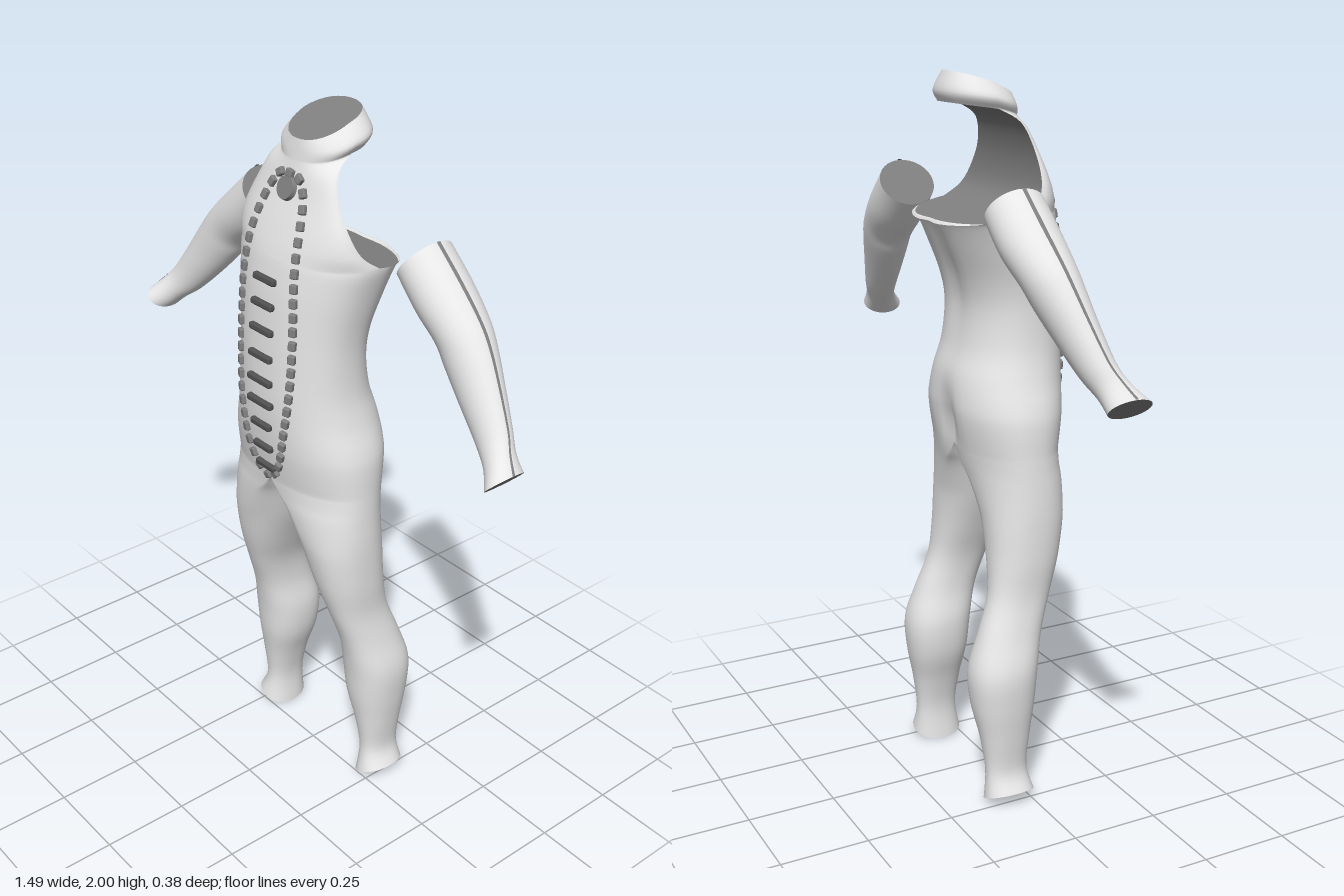
import * as THREE from 'three';
import { mergeGeometries, mergeVertices } from 'three/addons/utils/BufferGeometryUtils.js';
import { RoundedBoxGeometry } from 'three/addons/geometries/RoundedBoxGeometry.js';

const SEG = 48, POW = 0.9, PI = Math.PI;
const spow = (v) => Math.sign(v) * Math.abs(v) ** POW;

// Smoothly subdivide a table of cross-sections (Catmull-Rom on every column)
function refine(rows, n = 5) {
  const out = [], at = (i) => rows[Math.min(Math.max(i, 0), rows.length - 1)];
  for (let i = 0; i < rows.length - 1; i++) {
    for (let k = 0; k < n; k++) {
      const t = k / n;
      out.push(rows[i].map((p1, c) => {
        const p0 = at(i - 1)[c], p2 = at(i + 1)[c], p3 = at(i + 2)[c];
        return 0.5 * (2 * p1 + (p2 - p0) * t + (2 * p0 - 5 * p1 + 4 * p2 - p3) * t * t
          + (3 * p1 - p0 - 3 * p2 + p3) * t * t * t);
      }));
    }
  }
  out.push(at(rows.length - 1));
  return out;
}

// Skin a list of cross-sections; point(row, angle) gives each vertex
function loft(rows, point, from, to, segs, mirror = false) {
  const pos = [], idx = [], w = segs + 1;
  rows.forEach((row, i) => {
    for (let j = 0; j <= segs; j++) {
      const [x, y, z] = point(row, from + (to - from) * j / segs);
      pos.push(mirror ? -x : x, y, z);
      if (i === rows.length - 1 || j === segs) continue;
      const a = i * w + j, b = a + 1, c = a + w, d = c + 1;
      idx.push(...(mirror ? [a, c, b, b, c, d] : [a, b, c, b, d, c]));
    }
  });
  const g = new THREE.BufferGeometry();
  g.setAttribute('position', new THREE.Float32BufferAttribute(pos, 3));
  g.setIndex(idx);
  return g;
}

function weld(parts) {
  const g = mergeVertices(mergeGeometries(parts), 1e-4);
  g.computeVertexNormals();
  return g;
}

// Flat lid over an open end of a loft
function lid(row, point, scales, mirror) {
  const p0 = point(row, 0), p1 = point(row, PI), mid = p0.map((v, i) => (v + p1[i]) / 2);
  return weld([loft(scales, (k, a) => point(row, a).map((v, i) => mid[i] + (v - mid[i]) * k), 0, 2 * PI, 36, mirror)]);
}

// Surface of straight lines between the left and right edge points
const ruled = (points, dir) => weld([loft(points, ([x, y, z], a) => [x * a, y, z], -dir, dir, 4)]);

// Body section: y, x right, x left, z front, z back, centre x, centre z, side lift, back lift, roll
function bodyPoint([y, x0, x1, zf, zb, cx, zc, side, back, roll], a) {
  const s = spow(Math.sin(a)), c = spow(Math.cos(a));
  const x = cx + (s > 0 ? x1 - cx : cx - x0) * s;
  let z = zc + (c > 0 ? zf - zc : zc - zb) * c;
  const py = y + (c > 0 ? side * (1 - c) : side - (back - side) * c) + roll * s;
  // Cleft at the seat and a shallow spine line
  if (c < 0) z -= c * Math.exp(-((x / 0.04) ** 2))
    * (0.028 * Math.exp(-(((py - 1.07) / 0.09) ** 2)) + 0.012 * Math.exp(-(((py - 1.5) / 0.18) ** 2)));
  return [x, py, z];
}
const bodyRow = (y, hx, zf, zb, zc = (zf + zb) / 2, side = 0, back = 0) =>
  [y, -hx, hx, zf, zb, 0, zc, side, back, 0];
const legRow = (y, x0, x1, zf, zb, cx = (x0 + x1) / 2, roll = 0) =>
  [y, x0, x1, zf, zb, cx, (zf + zb) / 2, 0, 0, roll];

const torsoRows = refine([
  bodyRow(1.0, 0.248, 0.152, -0.125), bodyRow(1.08, 0.245, 0.166, -0.14),
  bodyRow(1.13, 0.235, 0.172, -0.143), bodyRow(1.2, 0.212, 0.177, -0.135),
  bodyRow(1.28, 0.195, 0.178, -0.112), bodyRow(1.38, 0.191, 0.174, -0.102),
  bodyRow(1.46, 0.197, 0.169, -0.115), bodyRow(1.55, 0.215, 0.161, -0.148),
  bodyRow(1.62, 0.232, 0.15, -0.178, -0.012), bodyRow(1.645, 0.235, 0.145, -0.19, -0.02, 0, -0.03),
]);
// Halter front, open at the back and shoulders
const yokeRows = refine([
  bodyRow(1.645, 0.235, 0.145, -0.19, -0.02), bodyRow(1.68, 0.222, 0.134, -0.19, 0.025),
  bodyRow(1.73, 0.2, 0.115, -0.19, 0.046), bodyRow(1.8, 0.16, 0.086, -0.19, 0.048),
  bodyRow(1.85, 0.128, 0.07, -0.17, 0.025, 0.02), bodyRow(1.88, 0.11, 0.062, -0.135, -0.03, 0.025, 0.04),
]);
const collarRows = refine([
  bodyRow(1.88, 0.11, 0.062, -0.135, -0.03, 0.025, 0.04),
  bodyRow(1.905, 0.122, 0.058, -0.146, -0.04, 0.03, 0.045),
  bodyRow(1.934, 0.088, 0.053, -0.127, -0.04, 0.04, 0.066),
]);
const legRows = refine([
  legRow(0.022, 0.18, 0.29, 0.01, -0.135, 0.235, 0.022), legRow(0.1, 0.186, 0.266, -0.006, -0.128),
  legRow(0.2, 0.165, 0.275, 0.004, -0.14), legRow(0.3, 0.132, 0.287, 0.02, -0.16),
  legRow(0.4, 0.122, 0.291, 0.03, -0.165), legRow(0.5, 0.134, 0.268, 0.048, -0.135),
  legRow(0.6, 0.125, 0.252, 0.08, -0.1), legRow(0.7, 0.09, 0.255, 0.11, -0.09),
  legRow(0.8, 0.05, 0.256, 0.13, -0.09), legRow(0.86, 0.03, 0.255, 0.139, -0.095, 0.122),
  legRow(0.92, 0.013, 0.252, 0.145, -0.104, 0.08), legRow(0.96, 0.004, 0.25, 0.148, -0.114, 0.036),
  legRow(1.0, 0, 0.248, 0.152, -0.125, 0),
]);

// Sleeve section: upper edge x y, lower edge x y, z front, z back
const sleeveRows = refine([
  [0.36, 1.735, 0.27, 1.62, -0.015, -0.177], [0.45, 1.655, 0.34, 1.55, -0.012, -0.175],
  [0.53, 1.58, 0.41, 1.495, -0.015, -0.16], [0.575, 1.525, 0.445, 1.45, -0.014, -0.145],
  [0.625, 1.45, 0.505, 1.385, -0.01, -0.12], [0.68, 1.365, 0.59, 1.305, 0, -0.09],
  [0.71, 1.322, 0.648, 1.262, 0.02, -0.07], [0.745, 1.285, 0.688, 1.226, 0.055, -0.065],
]);
function sleevePoint([ux, uy, lx, ly, zf, zb], a) {
  const c = Math.cos(a) / 2;
  return [(ux + lx) / 2 + (ux - lx) * c, (uy + ly) / 2 + (uy - ly) * c,
    (zf + zb) / 2 + (zf - zb) / 2 * Math.sin(a)];
}

// Point on the front surface, for seating the trim
const frontRows = [...torsoRows, ...yokeRows.slice(1)];
function frontPoint(x, y) {
  let i = 1;
  while (i < frontRows.length - 1 && frontRows[i][0] < y) i++;
  const a = frontRows[i - 1], b = frontRows[i], t = (y - a[0]) / (b[0] - a[0]);
  const mix = (c) => a[c] + (b[c] - a[c]) * t;
  const s = Math.min(Math.abs(x) / mix(2), 1) ** (1 / POW);
  return new THREE.Vector3(x, y, mix(6) + (mix(3) - mix(6)) * Math.sqrt(1 - s * s) ** POW);
}
function seat(mesh, x, y, dx, dy) {
  const p = frontPoint(x, y), e = 0.008;
  const tx = frontPoint(x + e, y).sub(frontPoint(x - e, y));
  const ty = frontPoint(x, y + e).sub(frontPoint(x, y - e));
  const n = tx.clone().cross(ty).normalize();
  const up = tx.multiplyScalar(dx).addScaledVector(ty, dy).normalize();
  const side = up.clone().cross(n);
  mesh.quaternion.setFromRotationMatrix(new THREE.Matrix4().makeBasis(side, up, n));
  mesh.position.copy(p).addScaledVector(n, 0.004);
}

export function createModel() {
  const model = new THREE.Group();
  const material = (name, color, side = THREE.FrontSide) =>
    Object.assign(new THREE.MeshStandardMaterial({ color, side }), { name });
  const suit = material('suit white', 0xfafafa, THREE.DoubleSide);
  const inner = material('inner grey', 0x808080, THREE.DoubleSide);
  const barGrey = material('bar dark grey', 0x525252);

  const add = (name, geo, mat, parent = model) => {
    const m = new THREE.Mesh(geo, mat);
    m.name = name;
    parent.add(m);
    return m;
  };

  // Suit body: torso, halter, collar and legs in one skin
  add('suitBody', weld([
    loft(torsoRows, bodyPoint, -PI, PI, SEG),
    loft(yokeRows, bodyPoint, -PI / 2, PI / 2, SEG / 2),
    loft(collarRows, bodyPoint, -PI, PI, SEG),
    loft(legRows, bodyPoint, -PI, PI, SEG),
    loft(legRows, bodyPoint, -PI, PI, SEG, true),
  ]), suit);

  // Grey filling of the open back, from the rear rim up to the collar, and of the neck
  const arc = (row, from, to) => Array.from({ length: 13 }, (_, i) => bodyPoint(row, from + (to - from) * i / 12));
  add('backFilling', ruled([
    ...arc(torsoRows.at(-1), PI, PI / 2),
    ...yokeRows.slice(1).map((r) => bodyPoint(r, PI / 2)),
    ...arc(collarRows[0], PI / 2, PI).slice(1),
  ], -1), inner);
  add('neckFilling', ruled(arc(collarRows.at(-1), 0, PI), 1), inner);

  // Detached sleeves with a seam along the upper edge, and the ends of the limbs
  const seamRows = sleeveRows.map(([ux, uy, ...rest]) => [ux + 0.002, uy + 0.002, ...rest]);
  for (const [side, mirror] of [['left', false], ['right', true]]) {
    add(side + 'Sleeve', weld([loft(sleeveRows, sleevePoint, 0, 2 * PI, 36, mirror)]), suit);
    add(side + 'SleeveSeam', weld([loft(seamRows, sleevePoint, -0.07, 0.07, 2, mirror)]), inner);
    add(side + 'ShoulderEnd', lid(sleeveRows[0], sleevePoint, [0, 1], mirror), inner);
    add(side + 'WristEnd', lid(sleeveRows.at(-1), sleevePoint, [1, 0], mirror), inner);
    add(side + 'AnkleEnd', lid(legRows[0], bodyPoint, [0, 1], mirror), inner);
  }

  // Studs around the front panel
  const studs = new THREE.Group();
  studs.name = 'panelStuds';
  model.add(studs);
  const studGeo = new RoundedBoxGeometry(0.021, 0.025, 0.016, 2, 0.004);
  const half = [[0, 1.848], [0.035, 1.843], [0.062, 1.81], [0.085, 1.735], [0.1, 1.6], [0.106, 1.445],
    [0.1, 1.285], [0.085, 1.18], [0.063, 1.085], [0.035, 1.03], [0, 1.012]];
  const curve = new THREE.CatmullRomCurve3(half.map(([x, y]) => new THREE.Vector3(x, y, 0)));
  const COUNT = 24;
  for (let i = 0; i <= COUNT; i++) {
    const p = curve.getPointAt(i / COUNT), t = curve.getTangentAt(i / COUNT);
    for (const s of i % COUNT ? [1, -1] : [1]) seat(add('stud', studGeo, inner, studs), s * p.x, p.y, s * t.x, t.y);
  }

  // Horizontal bars down the middle
  const bars = new THREE.Group();
  bars.name = 'frontBars';
  model.add(bars);
  [[1.587, 0.085], [1.52, 0.085], [1.45, 0.09], [1.376, 0.09], [1.307, 0.095], [1.243, 0.1],
    [1.175, 0.08], [1.106, 0.075], [1.043, 0.08]].forEach(([y, w]) =>
    seat(add('bar', new RoundedBoxGeometry(w, 0.019, 0.018, 2, 0.006), barGrey, bars), 0, y, 0, 1));

  // Round button below the collar
  const disc = new THREE.CylinderGeometry(0.03, 0.034, 0.016, 24).rotateX(PI / 2);
  seat(add('button', disc, inner), 0, 1.812, 0, 1);

  return model;
}
